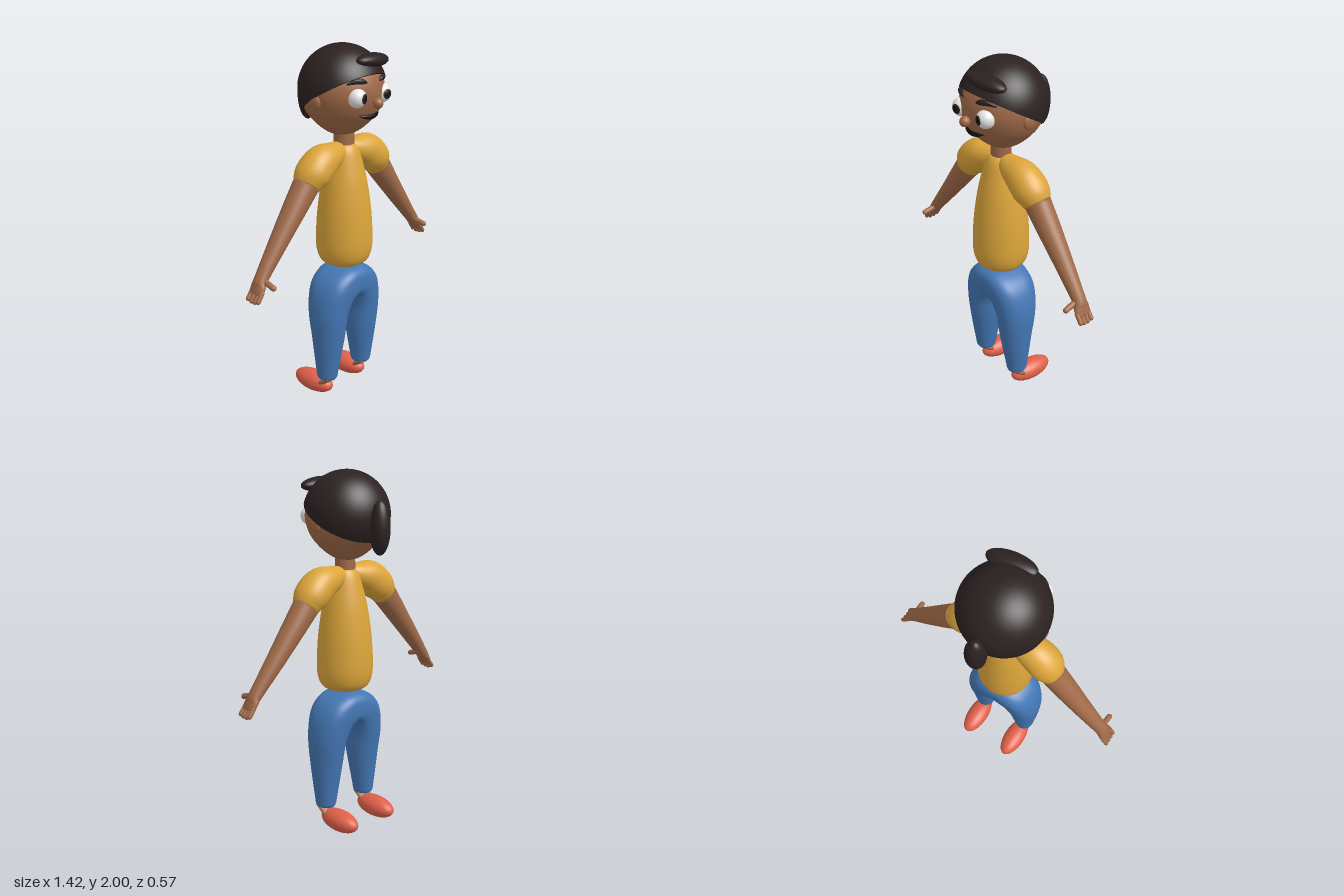
import * as THREE from 'three';

const paint = (name, color) => {
  const m = new THREE.MeshStandardMaterial({ color });
  m.name = name;
  return m;
};

// Smooth tube through stations [x, y, z, radius in xy plane, radius in z, squareness (1 = round)]
function sweep(stations, steps = 40, sides = 32) {
  const path = new THREE.CatmullRomCurve3(stations.map(s => new THREE.Vector3(s[0], s[1], s[2])), false, 'catmullrom');
  const size = new THREE.CatmullRomCurve3(stations.map(s => new THREE.Vector3(s[3], s[4], s[5] ?? 1)), false, 'catmullrom');
  const pos = [], index = [];
  const soft = (v, e) => Math.sign(v) * Math.pow(Math.abs(v), e);
  for (let i = 0; i <= steps; i++) {
    const p = path.getPoint(i / steps), r = size.getPoint(i / steps), t = path.getTangent(i / steps);
    const len = Math.hypot(t.x, t.y);
    for (let j = 0; j < sides; j++) {
      const a = j / sides * Math.PI * 2;
      const n = soft(Math.cos(a), r.z) * Math.max(r.x, 0.001);
      const b = soft(Math.sin(a), r.z) * Math.max(r.y, 0.001);
      pos.push(p.x - t.y / len * n, p.y + t.x / len * n, p.z + b);
      if (i < steps) {
        const k = i * sides + j, l = i * sides + (j + 1) % sides;
        index.push(k, l, k + sides, l, l + sides, k + sides);
      }
    }
  }
  // End caps
  for (const [t, base, flip] of [[0, 0, false], [1, steps * sides, true]]) {
    const p = path.getPoint(t), c = pos.length / 3;
    pos.push(p.x, p.y, p.z);
    for (let j = 0; j < sides; j++) {
      const k = base + j, l = base + (j + 1) % sides;
      index.push(c, ...(flip ? [k, l] : [l, k]));
    }
  }
  const g = new THREE.BufferGeometry();
  g.setAttribute('position', new THREE.Float32BufferAttribute(pos, 3));
  g.setIndex(index);
  g.computeVertexNormals();
  return g;
}

// Smooth solid of revolution around y from [radius, y] points
function turned(points) {
  const curve = new THREE.SplineCurve(points.map(p => new THREE.Vector2(...p)));
  const profile = curve.getPoints(48);
  profile.forEach(p => { p.x = Math.max(p.x, 0); });
  return new THREE.LatheGeometry(profile, 48);
}

export function createModel() {
  const group = new THREE.Group();
  const skin = paint('skin', 0xa06a48), hairMat = paint('hair', 0x2c2121), shirt = paint('shirt', 0xdca53a);
  const denim = paint('denim', 0x4477b4), shoeMat = paint('shoe', 0xe0604a), white = paint('eyeWhite', 0xf2f2f0);
  const irisMat = paint('iris', 0x3a2419), black = paint('black', 0x141010);

  const add = (name, geo, mat, x = 0, y = 0, z = 0) => {
    const m = new THREE.Mesh(geo, mat);
    m.name = name;
    m.position.set(x, y, z);
    group.add(m);
    return m;
  };
  const ball = (name, mat, p, r) => {
    const m = add(name, new THREE.SphereGeometry(1, 36, 24), mat, ...p);
    m.scale.set(...r);
    return m;
  };
  // Rounded rod between two points
  const rod = (name, mat, from, to, r) => {
    const a = new THREE.Vector3(...from), d = new THREE.Vector3(...to).sub(a);
    const m = add(name, new THREE.CapsuleGeometry(r, d.length(), 6, 14), mat);
    m.position.copy(a).addScaledVector(d, 0.5);
    m.quaternion.setFromUnitVectors(new THREE.Vector3(0, 1, 0), d.normalize());
    return m;
  };

  // Head, neck and nose
  add('head', turned([[0, 1.52], [0.05, 1.527], [0.1, 1.553], [0.15, 1.596], [0.193, 1.65], [0.217, 1.71],
    [0.224, 1.765], [0.212, 1.83], [0.17, 1.9], [0.1, 1.95], [0, 1.97]]), skin, 0, 0, 0.017);
  add('neck', new THREE.CylinderGeometry(0.054, 0.056, 0.14, 32), skin, 0, 1.51, 0.03);
  ball('nose', skin, [0, 1.717, 0.258], [0.028, 0.028, 0.028]);
  add('mouth', sweep([[-0.076, 1.654, 0.197, 0.002, 0.004], [-0.045, 1.647, 0.211, 0.01, 0.009],
    [0, 1.642, 0.217, 0.013, 0.01], [0.045, 1.647, 0.211, 0.01, 0.009], [0.076, 1.654, 0.197, 0.002, 0.004]], 24, 14), black);

  // Hair: tilted cap, fringe lock and ponytail
  const cap = add('hairCap', new THREE.SphereGeometry(0.235, 56, 32, 0, Math.PI * 2, 0, Math.PI * 0.528), hairMat, 0, 1.765, 0.017);
  cap.rotation.x = -Math.PI / 6;
  const rim = add('hairUnderside', new THREE.CircleGeometry(0.234, 56), hairMat);
  rim.position.set(0, 1.765, 0.017).addScaledVector(new THREE.Vector3(0, Math.cos(Math.PI / 6), -0.5), -0.0206);
  rim.rotation.x = Math.PI / 2 - Math.PI / 6;
  const lock = ball('fringeLock', hairMat, [0.058, 1.92, 0.17], [0.133, 0.038, 0.057]);
  lock.rotation.set(0, 0.12, -0.06);
  ball('ponytail', hairMat, [0, 1.71, -0.232], [0.055, 0.142, 0.055]);

  // Torso
  add('torso', turned([[0, 0.79], [0.085, 0.795], [0.13, 0.818], [0.152, 0.87], [0.157, 0.95], [0.148, 1.1],
    [0.127, 1.25], [0.102, 1.36], [0.078, 1.44], [0.05, 1.475], [0, 1.485]]), shirt, 0, 0, 0.033);

  // Trousers: one arch from ankle to ankle
  const leg = [[0.147, 0.113, 0.035, 0.03, 0.032], [0.147, 0.128, 0.035, 0.054, 0.056], [0.147, 0.18, 0.035, 0.063, 0.066],
    [0.14, 0.38, 0.037, 0.089, 0.096], [0.134, 0.53, 0.033, 0.099, 0.115, 0.9], [0.1, 0.638, 0.032, 0.104, 0.128, 0.75],
    [0.05, 0.684, 0.032, 0.096, 0.133, 0.65]];
  const otherLeg = leg.map(([x, ...rest]) => [-x, ...rest]).reverse();
  add('trousers', sweep([...leg, [0, 0.695, 0.032, 0.09, 0.133, 0.62], ...otherLeg], 96, 40), denim);

  for (const s of [1, -1]) {
    const side = s > 0 ? 'left' : 'right';

    // Eye with iris and pupil turned slightly inward
    ball(side + 'Eye', white, [s * 0.1, 1.75, 0.202], [0.05, 0.05, 0.05]);
    for (const [name, mat, r, angle] of [['Iris', irisMat, 0.0508, 0.54], ['Pupil', black, 0.0516, 0.38]]) {
      const g = new THREE.SphereGeometry(r, 28, 8, 0, Math.PI * 2, 0, angle).rotateX(Math.PI / 2);
      add(side + name, g, mat, s * 0.1, 1.75, 0.202).rotation.y = -s * 0.2;
    }
    add(side + 'Brow', sweep([[s * 0.05, 1.824, 0.222, 0.006, 0.006], [s * 0.075, 1.832, 0.218, 0.014, 0.012],
      [s * 0.11, 1.834, 0.204, 0.014, 0.012], [s * 0.148, 1.822, 0.178, 0.005, 0.006]], 20, 14), hairMat);
    ball(side + 'Ear', skin, [s * 0.215, 1.725, 0.024], [0.02, 0.042, 0.036]);

    // Sleeve
    add(side + 'Sleeve', sweep([[s * 0.012, 1.45, 0.03, 0.02, 0.025], [s * 0.04, 1.445, 0.03, 0.046, 0.05],
      [s * 0.1, 1.427, 0.03, 0.07, 0.075], [s * 0.18, 1.402, 0.03, 0.094, 0.092],
      [s * 0.25, 1.35, 0.028, 0.092, 0.096], [s * 0.292, 1.298, 0.024, 0.072, 0.073]]), shirt);

    // Arm running into a flat palm
    add(side + 'Arm', sweep([[s * 0.288, 1.305, 0.022, 0.074, 0.07], [s * 0.38, 1.194, 0.022, 0.063, 0.064],
      [s * 0.5, 1.049, 0.023, 0.049, 0.052], [s * 0.628, 0.895, 0.027, 0.034, 0.039],
      [s * 0.657, 0.853, 0.03, 0.024, 0.047], [s * 0.679, 0.818, 0.032, 0.014, 0.045]]), skin);
    for (let i = 0; i < 4; i++) {
      const z = 0.032 + (i - 1.5) * 0.024;
      rod(side + 'Finger' + (i + 1), skin, [s * 0.668, 0.833, z], [s * 0.697, 0.787 + (i === 0 || i === 3 ? 0.007 : 0), z], 0.0125);
    }
    rod(side + 'Thumb', skin, [s * 0.632, 0.88, 0.06], [s * 0.637, 0.864, 0.118], 0.0155);

    // Ankle and shoe
    const ankle = add(side + 'Ankle', new THREE.CylinderGeometry(0.045, 0.045, 0.1, 24), skin, s * 0.147, 0.098, 0.028);
    ankle.scale.z = 0.4;
    ankle.rotation.x = 0.95;
    ball(side + 'Shoe', shoeMat, [s * 0.143, 0.06, -0.075], [0.064, 0.06, 0.136]);
  }
  return group;
}
